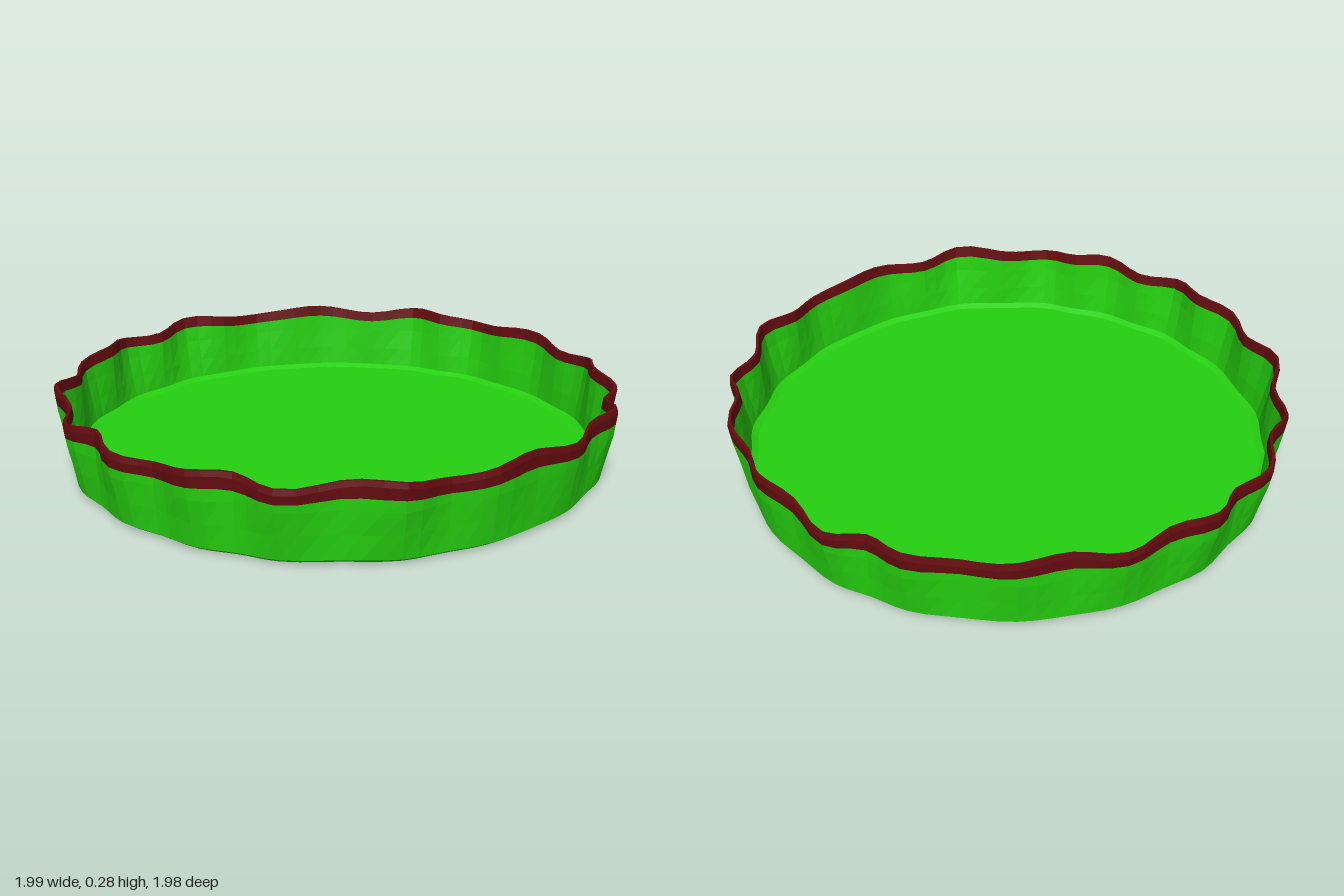
import * as THREE from 'three';

// Scallop crests round the rim: angle in degrees from +x towards +z, and radius
const CRESTS = [
  [-173.5, 1.0], [-155, 1.0], [-135.7, 0.98], [-115.7, 0.976], [-95, 0.99], [-79, 0.995], [-58.4, 0.98],
  [-39, 0.987], [-21.7, 1.0], [-4, 1.0], [14, 0.98], [35.5, 0.975], [53.5, 1.0], [75.8, 1.0],
  [92, 0.99], [110, 1.0], [128, 1.0], [149, 1.0], [168, 0.99],
];
const VALLEY = 0.953;
const STEPS = 6; // columns per scallop

// One column per step: angle, rim radius and rim height
function makeColumns() {
  const columns = [];
  CRESTS.forEach(([a0, r0], i) => {
    let [a1, r1] = CRESTS[(i + 1) % CRESTS.length];
    if (a1 < a0) a1 += 360;
    for (let k = 0; k < STEPS; k++) {
      const u = k / STEPS;
      const wave = 0.5 + 0.5 * Math.cos(u * Math.PI * 2);
      const crest = u < 0.5 ? r0 : r1;
      const angle = THREE.MathUtils.degToRad(a0 + (a1 - a0) * u);
      columns.push({
        angle,
        rim: VALLEY + (crest - VALLEY) * wave,
        lift: 0.013 * Math.cos(12 * (angle + 0.035)),
      });
    }
  });
  return columns;
}

// Skin a list of rings; each ring gives [radius, height] for a column
function loft(name, rings, columns, material) {
  const n = columns.length;
  const positions = [];
  const index = [];
  rings.forEach((ring) => columns.forEach((c) => {
    const [r, y] = ring(c);
    positions.push(r * Math.cos(c.angle), y, r * Math.sin(c.angle));
  }));
  for (let j = 0; j < rings.length - 1; j++) {
    for (let i = 0; i < n; i++) {
      const k = (i + 1) % n;
      const a = j * n + i, b = j * n + k, c = a + n, d = b + n;
      index.push(a, c, b, b, c, d);
    }
  }
  let geometry = new THREE.BufferGeometry();
  geometry.setAttribute('position', new THREE.Float32BufferAttribute(positions, 3));
  geometry.setIndex(index);
  geometry = geometry.toNonIndexed(); // faceted normals
  geometry.computeVertexNormals();
  const mesh = new THREE.Mesh(geometry, material);
  mesh.name = name;
  return mesh;
}

export function createModel() {
  const green = new THREE.MeshStandardMaterial({ color: 0x26d010 });
  green.name = 'leaf green';
  const red = new THREE.MeshStandardMaterial({ color: 0x640c10 });
  red.name = 'dark red';

  const columns = makeColumns();
  // Wall radius blends from a nearly round foot (t = 0) to the scalloped rim (t = 1)
  const wall = (c, t, inset) => THREE.MathUtils.lerp(0.945 + 0.3 * (c.rim - 0.97), c.rim, t) - inset;
  const ring = (t, inset, y, lift = 0) => (c) => [wall(c, t, inset), y + c.lift * lift];
  const centre = (y) => () => [0, y];

  const group = new THREE.Group();
  group.name = 'scallopedDish';
  group.add(
    // Underside with a small chamfer, then the outer wall
    loft('underside', [centre(0), ring(0, 0.02, 0), ring(0, 0, 0.014)], columns, green),
    loft('outerWall', [ring(0, 0, 0.014), ring(0.4, 0, 0.1), ring(0.8, 0, 0.18), ring(0.9, 0, 0.215, 0.6)], columns, green),
    // Rim band folded over the top edge
    loft('rim', [
      ring(0.9, 0, 0.215, 0.6), ring(1, 0, 0.25, 1), ring(1, 0.004, 0.268, 1),
      ring(1, 0.014, 0.268, 1), ring(0.95, 0.018, 0.23, 0.8),
    ], columns, red),
    // Inner wall and floor
    loft('innerWall', [ring(0.95, 0.018, 0.23, 0.8), ring(0.8, 0.018, 0.18), ring(0.4, 0.016, 0.1), ring(0, 0.012, 0.03)], columns, green),
    loft('floor', [ring(0, 0.012, 0.03), ring(0, 0.035, 0.018), centre(0.018)], columns, green),
  );
  return group;
}
